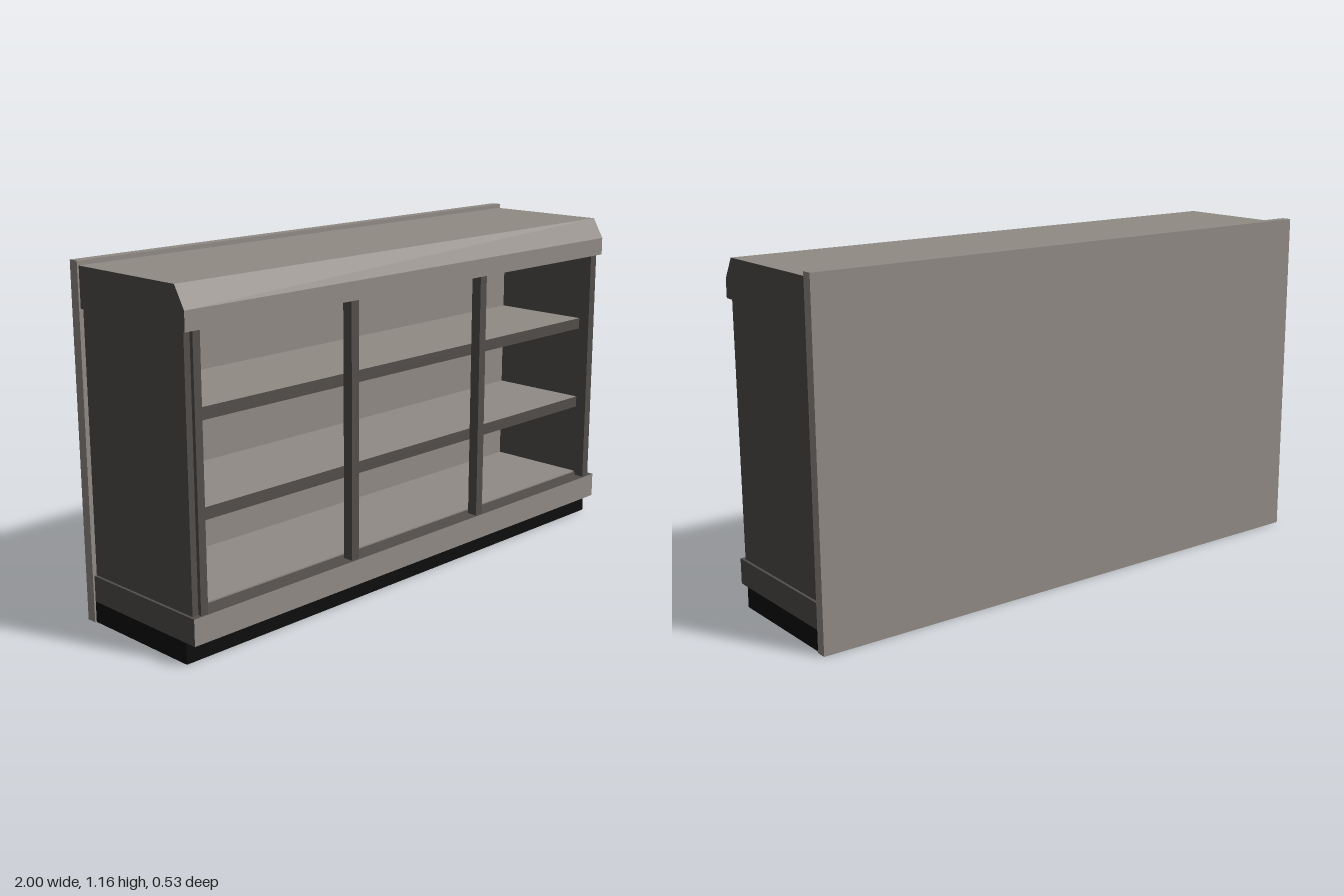
import * as THREE from 'three';

export function createModel() {
  const group = new THREE.Group();
  const mat = (name, color) => {
    const m = new THREE.MeshStandardMaterial({ color });
    m.name = name;
    return m;
  };
  const light = mat('warm grey', 0x918b86);
  const dark = mat('dark grey', 0x524e4b);
  const black = mat('black', 0x0d0d0d);

  // Box given by its min and max on each axis
  function box(name, material, [x0, x1], [y0, y1], [z0, z1]) {
    const mesh = new THREE.Mesh(new THREE.BoxGeometry(x1 - x0, y1 - y0, z1 - z0), material);
    mesh.position.set((x0 + x1) / 2, (y0 + y1) / 2, (z0 + z1) / 2);
    mesh.name = name;
    group.add(mesh);
    return mesh;
  }

  // Material order of a box: +x, -x, +y, -y, +z, -z
  const lightFront = [dark, dark, dark, dark, light, dark];
  const darkFront = [light, light, light, light, dark, light];

  // Rear board, kick plinth and base
  box('backPanel', light, [-1, 1], [0, 1.165], [-0.266, -0.23]);
  box('kickPlinth', black, [-0.994, 0.994], [0, 0.07], [-0.23, 0.227]);
  box('base', lightFront, [-0.994, 0.994], [0.07, 0.157], [-0.23, 0.268]);

  // Interior floor and back lining
  box('deck', light, [-0.963, 0.963], [0.157, 0.162], [-0.17, 0.2]);
  box('innerBack', light, [-0.963, 0.963], [0.157, 1.02], [-0.23, -0.17]);

  // Header with a chamfered front edge, dark ends
  const profile = new THREE.Shape([
    [-0.23, 1.018], [0.268, 1.018], [0.268, 1.08], [0.227, 1.15], [-0.23, 1.15],
  ].map(([z, y]) => new THREE.Vector2(z, y)));
  const headerGeo = new THREE.ExtrudeGeometry(profile, { depth: 1.988, bevelEnabled: false });
  headerGeo.translate(0, 0, -0.994);
  headerGeo.rotateY(-Math.PI / 2);
  const header = new THREE.Mesh(headerGeo, [dark, light]);
  header.name = 'header';
  group.add(header);

  // Side walls
  for (const s of [-1, 1]) {
    const x = [0.963 * s, 0.985 * s].sort((a, b) => a - b);
    box(s > 0 ? 'leftSide' : 'rightSide', dark, x, [0.157, 1.018], [-0.23, 0.25]);
  }

  // Front posts
  for (const x of [-0.949, -0.313, 0.313, 0.949]) {
    const w = Math.abs(x) > 0.5 ? 0.0135 : 0.016;
    box('frontPost', dark, [x - w, x + w], [0.157, 1.018], [0.225, 0.262]);
  }

  // Shelves with dark front edges
  for (const y of [0.422, 0.73]) {
    box('shelf', darkFront, [-0.963, 0.963], [y, y + 0.04], [-0.17, 0.2]);
  }

  return group;
}
